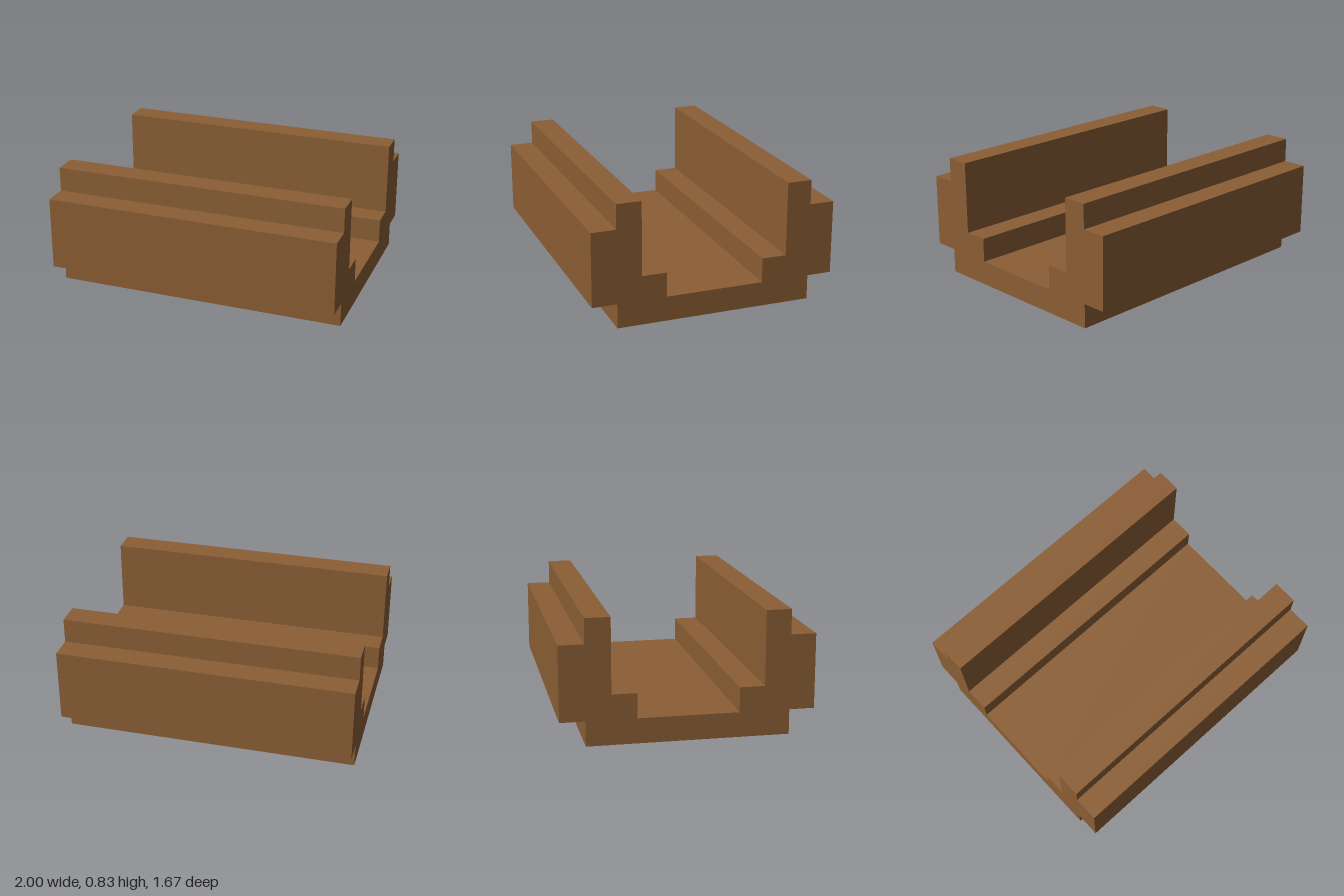
import * as THREE from 'three';

const UNIT = 1 / 6; // every step of the profile is a multiple of this
const LENGTH = 2;

export function createModel() {
  const wood = new THREE.MeshStandardMaterial({ color: 0x8b5e34 });
  wood.name = 'brown wood';

  // Half of the stepped channel section, from the base edge up and over the wall to the floor
  const half = [
    [4, 0], [4, 1], [5, 1], [5, 4], [4, 4],
    [4, 5], [3, 5], [3, 2], [2, 2], [2, 1],
  ];
  const mirrored = half.map(([z, y]) => [-z, y]).reverse();
  const section = new THREE.Shape(
    [...half, ...mirrored].map(([z, y]) => new THREE.Vector2(z * UNIT, y * UNIT))
  );

  // Run the section along x
  const geometry = new THREE.ExtrudeGeometry(section, { depth: LENGTH, bevelEnabled: false });
  geometry.translate(0, 0, -LENGTH / 2);
  geometry.rotateY(Math.PI / 2);

  const channel = new THREE.Mesh(geometry, wood);
  channel.name = 'steppedChannel';

  const model = new THREE.Group();
  model.name = 'trough';
  model.add(channel);
  return model;
}
